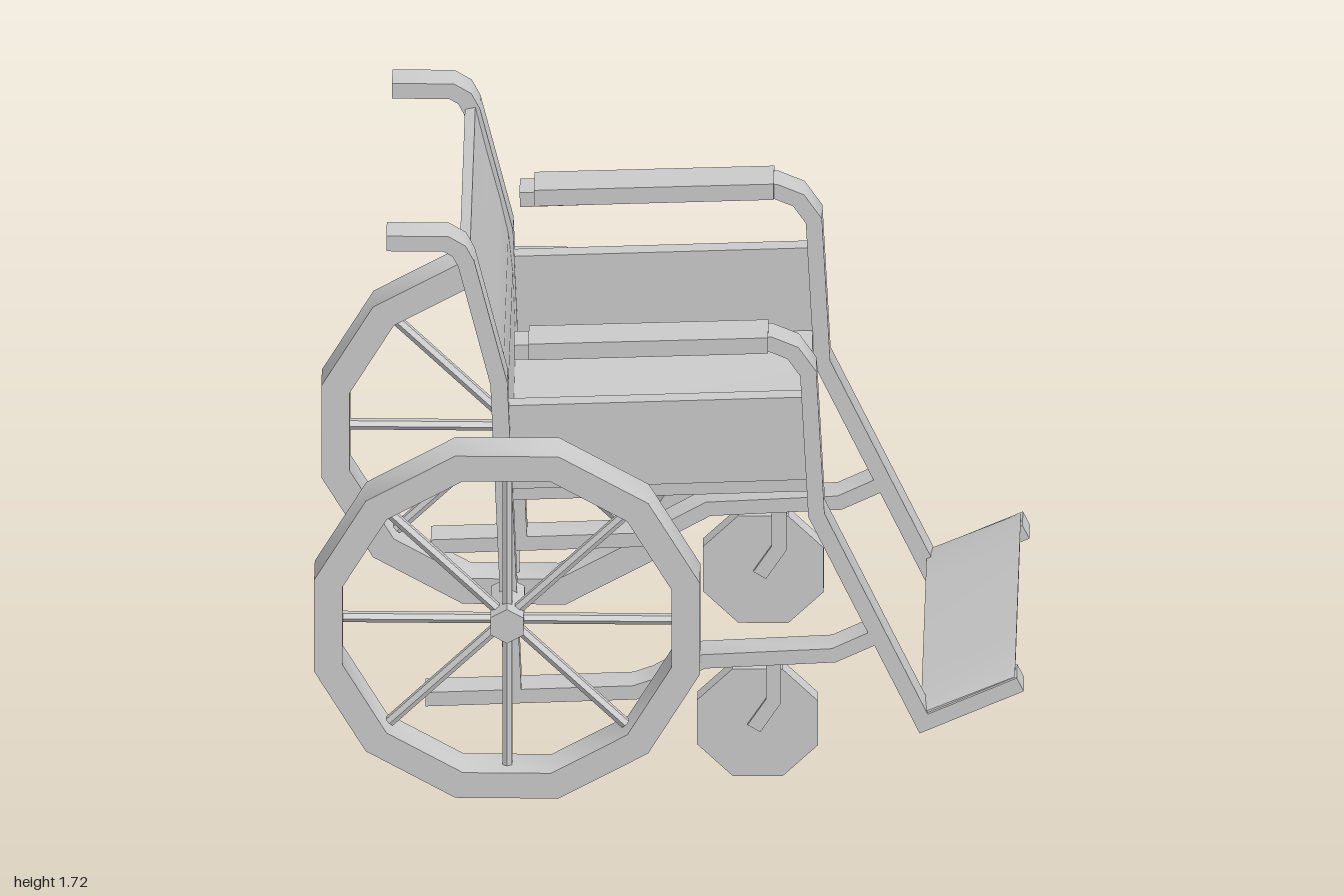
import * as THREE from 'three';
import { toCreasedNormals } from 'three/addons/utils/BufferGeometryUtils.js';

const grey = new THREE.MeshStandardMaterial({ color: 0xcccccc });

function add(parent, name, geometry) {
  const mesh = new THREE.Mesh(toCreasedNormals(geometry, 0.6), grey);
  mesh.name = name;
  parent.add(mesh);
  return mesh;
}

// Flat shape in the side plane, extruded between two z values
function slab(shape, z0, z1) {
  return new THREE.ExtrudeGeometry(shape, { depth: z1 - z0, bevelEnabled: false }).translate(0, 0, z0);
}

const polygon = (pts) => new THREE.Shape(pts.map(([x, y]) => new THREE.Vector2(x, y)));

// Outline of a bar of even width that follows a bent path, with mitred corners
function bar(path, width) {
  const p = path.map(([x, y]) => new THREE.Vector2(x, y));
  const left = [], right = [];
  p.forEach((pt, i) => {
    const a = p[Math.max(i - 1, 0)], b = p[Math.min(i + 1, p.length - 1)];
    const d1 = pt.clone().sub(a).normalize(), d2 = b.clone().sub(pt).normalize();
    const dir = i === 0 ? d2 : i === p.length - 1 ? d1 : d1.clone().add(d2).normalize();
    const ref = i === 0 ? d2 : d1;
    const n = new THREE.Vector2(-dir.y, dir.x).multiplyScalar(width / 2 / dir.dot(ref));
    left.push(pt.clone().add(n));
    right.unshift(pt.clone().sub(n));
  });
  return new THREE.Shape([...left, ...right]);
}

// Regular polygon with flat top; size is the distance to its flats
function ngon(sides, flat) {
  const r = flat / Math.cos(Math.PI / sides);
  return Array.from({ length: sides }, (_, i) => {
    const a = ((i + 0.5) / sides) * Math.PI * 2;
    return [r * Math.cos(a), r * Math.sin(a)];
  });
}

// Cross-section in the z/y plane, swept along x, then sheared by a slope
function crossSheet(section, x0, x1, y0, y1) {
  const g = new THREE.ExtrudeGeometry(polygon(section), { depth: x1 - x0, bevelEnabled: false });
  g.rotateY(Math.PI / 2).translate(x0, 0, 0);
  const pos = g.attributes.position;
  for (let i = 0; i < pos.count; i++) {
    const t = (pos.getX(i) - x0) / (x1 - x0);
    pos.setY(i, pos.getY(i) + y0 + (y1 - y0) * t);
  }
  g.computeVertexNormals();
  return g;
}

function wheel(z0, z1, hubIn, hubOut) {
  const g = new THREE.Group();
  g.name = 'rearWheel';
  const rim = polygon(ngon(12, 0.543));
  rim.holes.push(polygon(ngon(12, 0.463)));
  add(g, 'rim', slab(rim, z0, z1));
  for (let i = 0; i < 4; i++) {
    const spoke = add(g, 'spoke', new THREE.CylinderGeometry(0.016, 0.016, 0.94, 6));
    spoke.position.z = (z0 + z1) / 2;
    spoke.rotation.z = (i * Math.PI) / 4;
  }
  const hub = new THREE.CylinderGeometry(0.054, 0.054, Math.abs(hubOut - hubIn), 6);
  add(g, 'hub', hub.rotateX(Math.PI / 2)).position.z = (hubIn + hubOut) / 2;
  g.position.set(-0.458, 0.547, 0);
  return g;
}

// Paths of the bent frame bars, as [x, y]
const backPost = [[-0.8, 1.693], [-0.632, 1.693], [-0.595, 1.67], [-0.575, 1.63], [-0.483, 1.25], [-0.443, 0.25]];
const armAndLeg = [[-0.44, 1.35], [0.28, 1.383], [0.345, 1.355], [0.388, 1.29], [0.411, 0.84], [0.713, 0.18], [0.985, 0.307]];
const lowerRail = [[-0.69, 0.245], [-0.1, 0.272], [-0.04, 0.295], [0.09, 0.372], [0.46, 0.395], [0.57, 0.45]];
const fork = [[0.29, 0.385], [0.29, 0.245], [0.235, 0.158]];
const backSheet = [[-0.58, 1.64], [-0.55, 1.51], [-0.51, 1.35], [-0.487, 1.24], [-0.475, 1.12], [-0.466, 0.87]];

// Everything that exists once on each side
function sideFrame(s) {
  const g = new THREE.Group();
  g.name = s > 0 ? 'leftSide' : 'rightSide';
  const part = (name, shape, a, b) => add(g, name, slab(shape, Math.min(a * s, b * s), Math.max(a * s, b * s)));

  part('backPostAndHandle', bar(backPost, 0.048), 0.42, 0.505);
  part('armRailAndFrontLeg', bar(armAndLeg, 0.046), 0.42, 0.505);
  part('lowerRail', bar(lowerRail, 0.044), 0.42, 0.505);
  part('armPad', polygon([[-0.4, 1.335], [0.275, 1.362], [0.275, 1.412], [-0.4, 1.386]]), 0.41, 0.522);
  part('sidePanel', polygon([[-0.46, 0.9], [0.39, 0.938], [0.38, 1.2], [-0.465, 1.165]]), 0.43, 0.475);

  // Front caster and its fork
  const disc = polygon(ngon(8, 0.17).map(([x, y]) => [x + 0.245, y + 0.172]));
  part('casterWheel', disc, 0.438, 0.49);
  part('casterFork', bar(fork, 0.042), 0.428, 0.5);
  return g;
}

export function createModel() {
  const model = new THREE.Group();
  model.name = 'wheelchair';
  model.add(sideFrame(1), sideFrame(-1));
  model.add(wheel(0.523, 0.64, 0.44, 0.635));
  model.add(wheel(-0.636, -0.536, -0.44, -0.646));

  // Backrest sheet follows the bend of the posts
  add(model, 'backrest', slab(bar(backSheet, 0.03), -0.43, 0.43));

  // Seat sags to a shallow crease in the middle
  const seat = [[-0.46, 0], [0, -0.022], [0.46, 0], [0.46, 0.046], [0, 0.024], [-0.46, 0.046]];
  add(model, 'seat', crossSheet(seat, -0.455, 0.385, 0.857, 0.893));

  // Slightly domed footplate with thin edges, sloping up to the front
  const plate = [[-0.495, -0.01], [0.495, -0.01], [0.495, 0.002], [0.45, 0.012], [0.25, 0.018],
    [-0.25, 0.018], [-0.45, 0.012], [-0.495, 0.002]];
  add(model, 'footplate', crossSheet(plate, 0.705, 0.97, 0.207, 0.325));

  return model;
}
